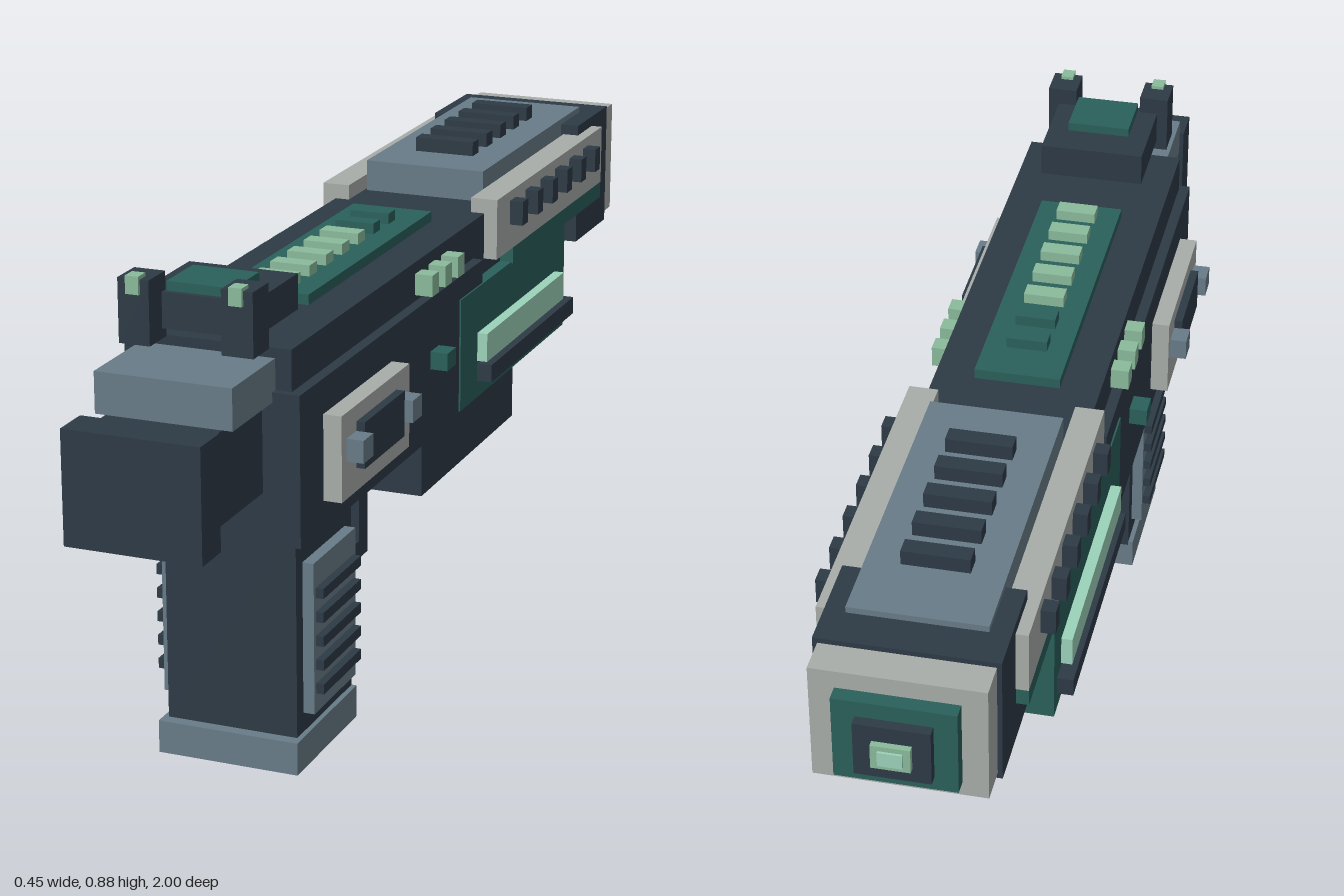
import * as THREE from 'three';

export function createModel() {
  const model = new THREE.Group();
  model.name = 'blaster';

  const mat = (name, color) => {
    const m = new THREE.MeshStandardMaterial({ color });
    m.name = name;
    return m;
  };
  const navy = mat('dark navy', 0x2d3a45);
  const slate = mat('slate', 0x687b88);
  const grey = mat('light grey', 0xa7ada9);
  const teal = mat('teal', 0x2a605a);
  const sage = mat('sage green', 0x8aba9b);
  const mint = mat('pale mint', 0x9cd2ba);

  // Box from its limits on each axis
  const box = (name, m, x0, x1, y0, y1, z0, z1) => {
    const mesh = new THREE.Mesh(new THREE.BoxGeometry(x1 - x0, y1 - y0, z1 - z0), m);
    mesh.position.set((x0 + x1) / 2, (y0 + y1) / 2, (z0 + z1) / 2);
    mesh.name = name;
    model.add(mesh);
  };
  // Box centred on x
  const mid = (name, m, half, y0, y1, z0, z1) => box(name, m, -half, half, y0, y1, z0, z1);
  // Mirrored pair of boxes
  const pair = (name, m, x0, x1, y0, y1, z0, z1) => {
    box(name + 'Left', m, x0, x1, y0, y1, z0, z1);
    box(name + 'Right', m, -x1, -x0, y0, y1, z0, z1);
  };

  // Stock
  mid('stockPlate', navy, 0.118, 0.494, 0.687, 0.932, 1.0);
  mid('stockNeck', navy, 0.1, 0.52, 0.674, 0.72, 0.935);
  mid('stockTop', slate, 0.118, 0.674, 0.744, 0.7, 0.882);

  // Receiver
  mid('lowerBody', navy, 0.165, 0.433, 0.691, -0.113, 0.73);
  mid('upperBody', navy, 0.146, 0.647, 0.761, -0.75, 0.717);
  mid('underFrame', navy, 0.142, 0.316, 0.445, -0.35, 0.132);
  mid('underPlate', navy, 0.11, 0.29, 0.32, -0.3, 0.032);

  // Grip with ribbed side panels
  mid('grip', navy, 0.118, 0.05, 0.44, 0.403, 0.642);
  mid('gripBase', slate, 0.127, 0, 0.058, 0.403, 0.663);
  pair('gripPanel', slate, 0.11, 0.138, 0.093, 0.362, 0.433, 0.615);
  for (let i = 0; i < 5; i++) {
    const y = 0.137 + i * 0.0427;
    pair('gripRib', navy, 0.13, 0.152, y - 0.009, y + 0.009, 0.443, 0.607);
  }

  // Trigger guard
  mid('guardBar', navy, 0.075, 0.235, 0.268, 0.225, 0.41);
  mid('guardPost', navy, 0.075, 0.235, 0.387, 0.223, 0.263);

  // Side plates
  pair('sidePlate', grey, 0.16, 0.197, 0.483, 0.631, 0.335, 0.635);
  pair('sideInset', navy, 0.19, 0.212, 0.523, 0.603, 0.395, 0.572);
  for (const z of [0.375, 0.594]) pair('sideClip', slate, 0.19, 0.227, 0.548, 0.587, z - 0.021, z + 0.021);
  pair('sideButton', teal, 0.16, 0.197, 0.562, 0.594, 0.11, 0.152);
  for (const z of [0.035, 0.098, 0.162]) pair('sideLamp', sage, 0.14, 0.178, 0.702, 0.74, z - 0.016, z + 0.016);

  // Energy cell
  mid('energyCell', teal, 0.168, 0.439, 0.648, -0.57, 0.007);
  pair('glowStrip', mint, 0.16, 0.187, 0.509, 0.562, -0.513, -0.08);
  pair('cellRail', navy, 0.16, 0.196, 0.471, 0.504, -0.547, -0.08);

  // Fore barrel
  pair('barrelStrip', teal, 0.13, 0.171, 0.645, 0.676, -0.782, -0.26);
  pair('barrelPanel', grey, 0.12, 0.171, 0.676, 0.788, -0.784, -0.17);
  mid('barrelCover', slate, 0.115, 0.755, 0.818, -0.81, -0.247);
  for (let i = 0; i < 6; i++) {
    const z = -0.255 - i * 0.0855;
    pair('panelVent', navy, 0.16, 0.196, 0.725, 0.77, z - 0.015, z + 0.015);
  }
  for (let i = 0; i < 5; i++) {
    const z = -0.366 - i * 0.0765;
    mid('coverVent', navy, 0.057, 0.81, 0.844, z - 0.016, z + 0.016);
  }

  // Stepped muzzle
  mid('muzzleBlock', navy, 0.15, 0.572, 0.807, -0.88, -0.697);
  mid('muzzleRim', grey, 0.142, 0.583, 0.798, -0.941, -0.87);
  mid('muzzleFace', teal, 0.1, 0.61, 0.766, -0.967, -0.93);
  mid('muzzleFrame', navy, 0.062, 0.636, 0.737, -0.985, -0.96);
  mid('muzzleLens', sage, 0.032, 0.663, 0.708, -0.996, -0.98);
  mid('muzzleCore', mint, 0.02, 0.672, 0.699, -1.0, -0.99);

  // Top rail with indicator bars
  mid('topRail', teal, 0.076, 0.75, 0.779, -0.085, 0.482);
  for (let i = 0; i < 7; i++) {
    const z = 0.01 + i * 0.0715;
    mid('railBar', i < 2 ? teal : sage, 0.036, 0.77, 0.798, z - 0.016, z + 0.016);
  }

  // Rear sight
  mid('sightBase', navy, 0.096, 0.782, 0.842, 0.573, 0.75);
  mid('sightPlate', teal, 0.058, 0.835, 0.858, 0.64, 0.74);
  pair('sightPost', navy, 0.062, 0.116, 0.765, 0.873, 0.735, 0.796);
  pair('sightDot', sage, 0.077, 0.1, 0.849, 0.879, 0.775, 0.802);

  return model;
}
